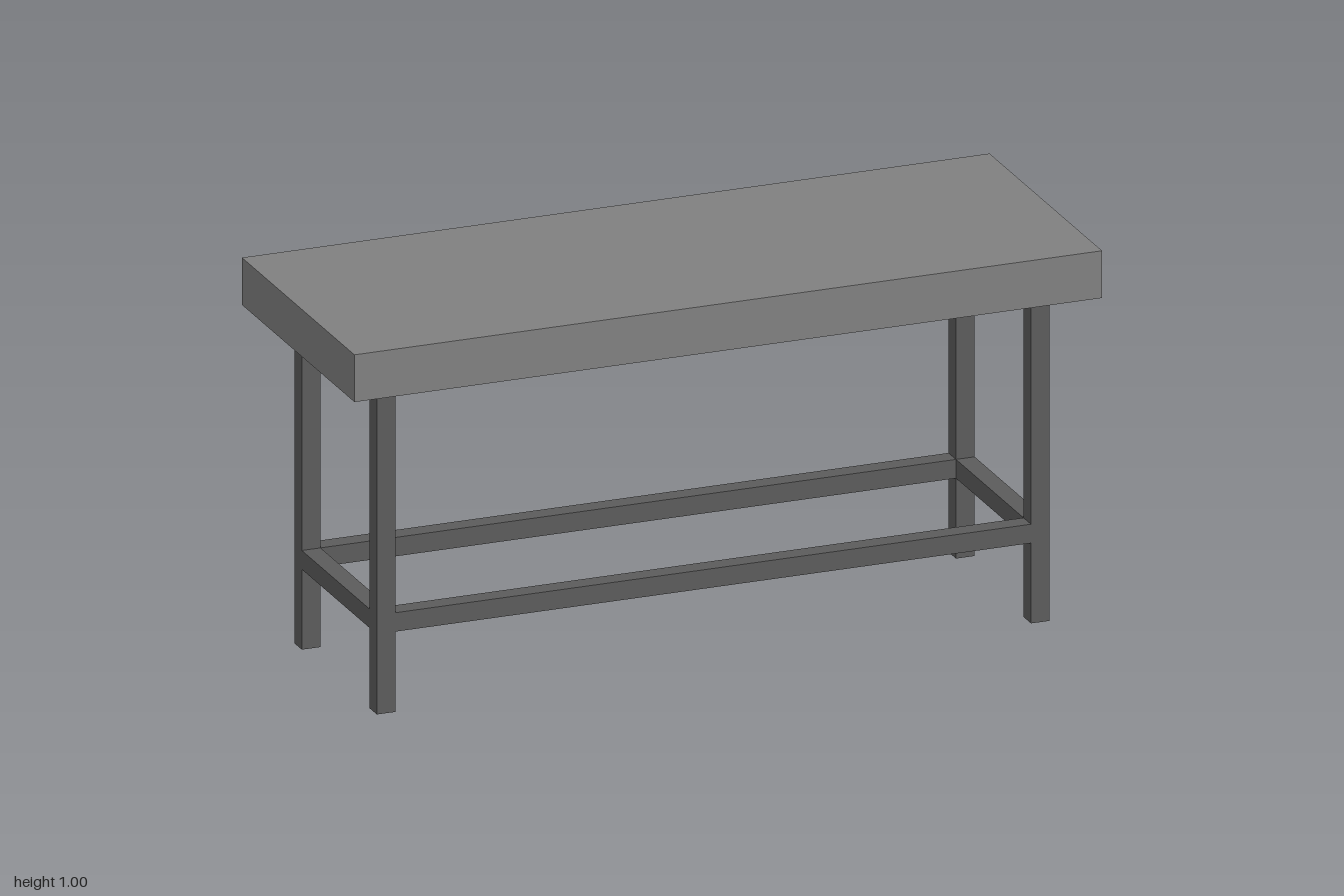
import * as THREE from 'three';

export function createModel() {
  const table = new THREE.Group();
  table.name = 'workTable';
  const topMaterial = new THREE.MeshStandardMaterial({ color: 0x828282, flatShading: true });
  const frameMaterial = new THREE.MeshStandardMaterial({ color: 0x5d5d5d, flatShading: true });

  const addBox = (name, material, size, position) => {
    const mesh = new THREE.Mesh(new THREE.BoxGeometry(...size), material);
    mesh.name = name;
    mesh.position.set(...position);
    table.add(mesh);
  };

  const bar = 0.05;      // square section of legs and rails
  const legX = 0.875;    // leg centres
  const legZ = 0.25;
  const legHeight = 0.875;
  const railY = 0.2375;

  // Thick slab top
  addBox('tableTop', topMaterial, [2, 0.125, 0.75], [0, 0.9375, 0]);

  // Four legs
  for (const [side, sx] of [['left', 1], ['right', -1]]) {
    for (const [end, sz] of [['Front', 1], ['Back', -1]]) {
      addBox(`${side}${end}Leg`, frameMaterial, [bar, legHeight, bar], [sx * legX, legHeight / 2, sz * legZ]);
    }
  }

  // Lower rails spanning between the legs
  for (const [name, s] of [['front', 1], ['back', -1]]) {
    addBox(`${name}Rail`, frameMaterial, [2 * legX - bar, bar, bar], [0, railY, s * legZ]);
  }
  for (const [name, s] of [['left', 1], ['right', -1]]) {
    addBox(`${name}Rail`, frameMaterial, [bar, bar, 2 * legZ - bar], [s * legX, railY, 0]);
  }

  return table;
}
